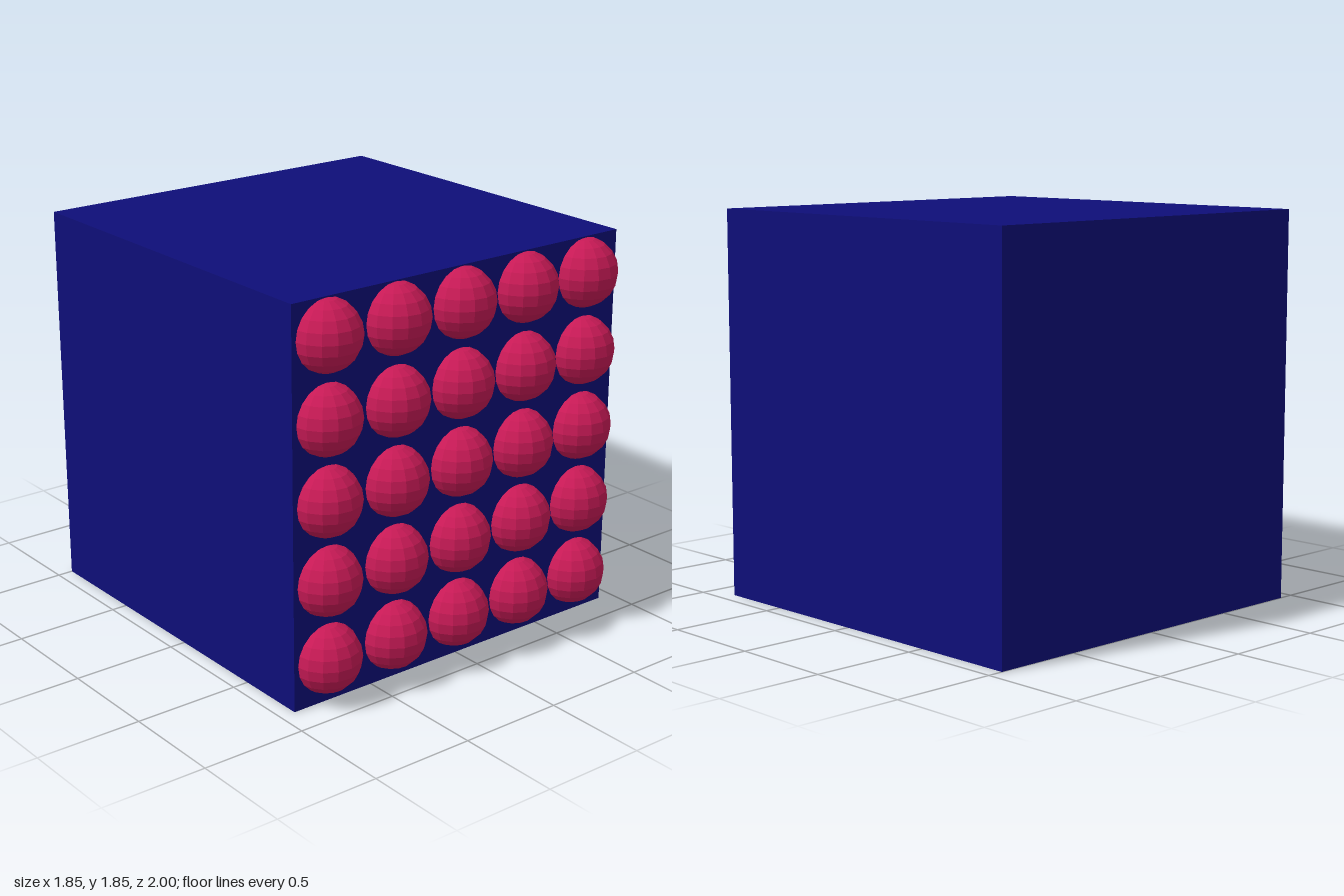
import * as THREE from 'three';

export function createModel() {
  const model = new THREE.Group();
  model.name = 'studdedCube';

  const blue = new THREE.MeshStandardMaterial({ color: 0x0e0e78, flatShading: true });
  const red = new THREE.MeshStandardMaterial({ color: 0xc81a56, flatShading: true });

  // Solid cube body
  const size = 1.85;
  const body = new THREE.Mesh(new THREE.BoxGeometry(size, size, size), blue);
  body.name = 'cubeBody';
  body.position.set(0, size / 2, -1 + size / 2);
  model.add(body);

  // 5 x 5 grid of faceted balls, half sunk into the front face
  const studs = new THREE.Group();
  studs.name = 'frontStuds';
  const ball = new THREE.SphereGeometry(0.163, 15, 10);
  const pitch = 0.3685;
  for (let row = 0; row < 5; row++) {
    for (let col = 0; col < 5; col++) {
      const stud = new THREE.Mesh(ball, red);
      stud.name = `stud_${row + 1}_${col + 1}`;
      stud.position.set(-0.743 + col * pitch, 0.209 + row * pitch, 0.838);
      studs.add(stud);
    }
  }
  model.add(studs);

  return model;
}
